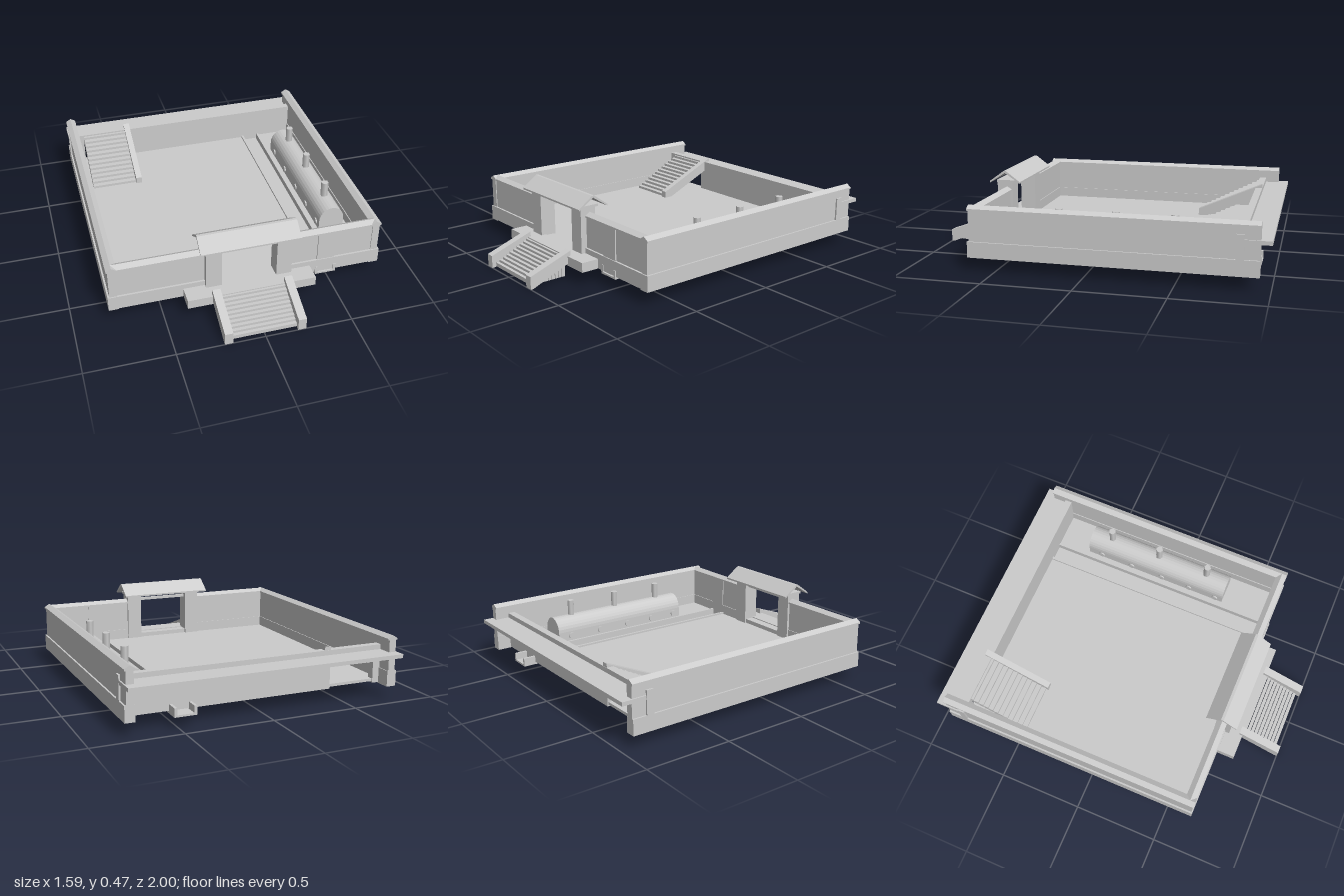
import * as THREE from 'three';

const stone = new THREE.MeshStandardMaterial({ color: 0xcccccc });
stone.name = 'pale grey stone';

export function createModel() {
  const model = new THREE.Group();
  model.name = 'walledCourtyard';

  const add = (name, geometry) => {
    const mesh = new THREE.Mesh(geometry, stone);
    mesh.name = name;
    model.add(mesh);
    return mesh;
  };

  // Box given by its limits on each axis
  const block = (name, x0, x1, y0, y1, z0, z1) => {
    const mesh = add(name, new THREE.BoxGeometry(x1 - x0, y1 - y0, z1 - z0));
    mesh.position.set((x0 + x1) / 2, (y0 + y1) / 2, (z0 + z1) / 2);
    return mesh;
  };

  const shapeOf = (points) => new THREE.Shape(points.map(([a, b]) => new THREE.Vector2(a, b)));
  const extrude = (points, depth) =>
    new THREE.ExtrudeGeometry(shapeOf(points), { depth, bevelEnabled: false });

  // Profile of (x, y) points swept along z
  const alongZ = (name, points, z0, z1) => {
    const mesh = add(name, extrude(points, z1 - z0));
    mesh.position.z = z0;
    return mesh;
  };

  // Profile of (z, y) points swept along x
  const alongX = (name, points, x0, x1) => {
    const mesh = add(name, extrude(points.map(([z, y]) => [-z, y]), x1 - x0));
    mesh.rotation.y = Math.PI / 2;
    mesh.position.x = x0;
    return mesh;
  };

  const copingProfile = (a, b) => [
    [a, 0.34], [b, 0.34], [b, 0.35], [(a + b) / 2, 0.368], [a, 0.35],
  ];

  // Floor on either side of the drain, and the open drain
  block('mainFloor', -0.75, 0.415, 0.088, 0.104, -0.85, 0.6);
  block('sideFloor', 0.525, 0.75, 0.088, 0.104, -0.85, 0.6);
  alongZ('drainChannel', [
    [0.405, 0.065], [0.53, 0.065], [0.53, 0.115], [0.515, 0.115],
    [0.515, 0.076], [0.42, 0.076], [0.42, 0.115], [0.405, 0.115],
  ], -0.93, 0.66);

  // Side walls with a projecting base course and pointed coping
  for (const s of [-1, 1]) {
    const lim = (a, b) => (s > 0 ? [a, b] : [-b, -a]);
    block('sideWall', ...lim(0.745, 0.787), 0.16, 0.345, -0.94, 0.648);
    block('sideWallBase', ...lim(0.74, 0.797), 0.075, 0.165, -0.94, 0.655);
    alongZ('sideCoping', copingProfile(...lim(0.735, 0.795)), -0.94, 0.652);

    // Front wall, left and right of the gate
    block('frontWall', ...lim(0.2, 0.75), 0.16, 0.345, 0.6, 0.643);
    block('frontWallBase', ...lim(0.2, 0.75), 0.08, 0.165, 0.595, 0.655);
    alongX('frontCoping', copingProfile(0.59, 0.65), ...lim(0.2, 0.765));

    // Gate posts
    block('gatePost', ...lim(0.16, 0.25), 0.074, 0.4, 0.585, 0.68);

    // Sloping cheeks of the outer stair
    alongX('outerStairCheek', [
      [1, 0.0], [1, 0.072], [0.74, 0.165], [0.74, 0.1], [0.985, 0.0],
    ], ...lim(0.185, 0.232));
  }
  block('frontWallPilaster', 0.415, 0.52, 0.165, 0.342, 0.595, 0.65);

  // Gate: tie bar, ceiling and gabled roof sheets
  block('gateTieBar', -0.18, 0.18, 0.352, 0.368, 0.61, 0.63);
  block('gateCeiling', -0.26, 0.26, 0.394, 0.408, 0.57, 0.68);
  alongX('gateRoof', [
    [0.526, 0.394], [0.526, 0.404], [0.612, 0.467], [0.628, 0.467],
    [0.715, 0.404], [0.715, 0.394], [0.62, 0.456],
  ], -0.288, 0.285);
  block('gateThreshold', -0.2, 0.2, 0.08, 0.13, 0.595, 0.66);
  block('gateLanding', -0.375, 0.37, 0.08, 0.135, 0.65, 0.76);

  // Outer stair treads, set as separate upright slabs
  for (let i = 0; i < 10; i++) {
    const z = 0.975 - i * 0.0225;
    block('outerStep', -0.19, 0.19, 0.005, 0.028 + i * 0.0112, z - 0.019, z);
  }

  // Back wall with an opening behind the inner stair
  block('backWall', -0.42, 0.797, 0.165, 0.3, -0.857, -0.815);
  block('backWallBase', -0.42, 0.75, 0.08, 0.165, -0.857, -0.815);
  block('backWallEnd', -0.797, -0.7, 0.08, 0.3, -0.857, -0.815);
  block('backWallLintel', -0.7, -0.42, 0.25, 0.3, -0.857, -0.815);
  block('backWalkway', -0.795, 0.795, 0.25, 0.272, -1, -0.84);

  // Inner stair rising to the back wall, with a single cheek
  for (let i = 0; i < 12; i++) {
    const z = -0.47 - i * 0.03;
    const top = 0.12 + i * 0.0155;
    block('innerStep', -0.7, -0.415, Math.max(0.1, top - 0.045), top, z - 0.03, z);
  }
  alongX('innerStairCheek', [
    [-0.455, 0.1], [-0.455, 0.145], [-0.855, 0.322], [-0.855, 0.255], [-0.5, 0.1],
  ], -0.422, -0.385);

  // Long vaulted oven with flues and stoke holes
  const vault = [];
  for (let i = 0; i <= 14; i++) {
    const a = (i / 14) * Math.PI;
    vault.push([0.633 + 0.078 * Math.cos(a), 0.165 + 0.085 * Math.sin(a)]);
  }
  alongZ('vaultedOven', [[0.555, 0.1], [0.711, 0.1], ...vault], -0.61, 0.32);
  for (const z of [-0.475, -0.15, 0.175]) {
    const flue = add('ovenFlue', new THREE.CylinderGeometry(0.022, 0.022, 0.11, 6));
    flue.position.set(0.635, 0.288, z);
  }
  for (const z of [-0.52, -0.31, -0.1, 0.09, 0.27]) {
    const hole = add('stokeHole', new THREE.CylinderGeometry(0.02, 0.02, 0.014, 10));
    hole.rotation.z = Math.PI / 2;
    hole.position.set(0.554, 0.135, z);
  }

  return model;
}
